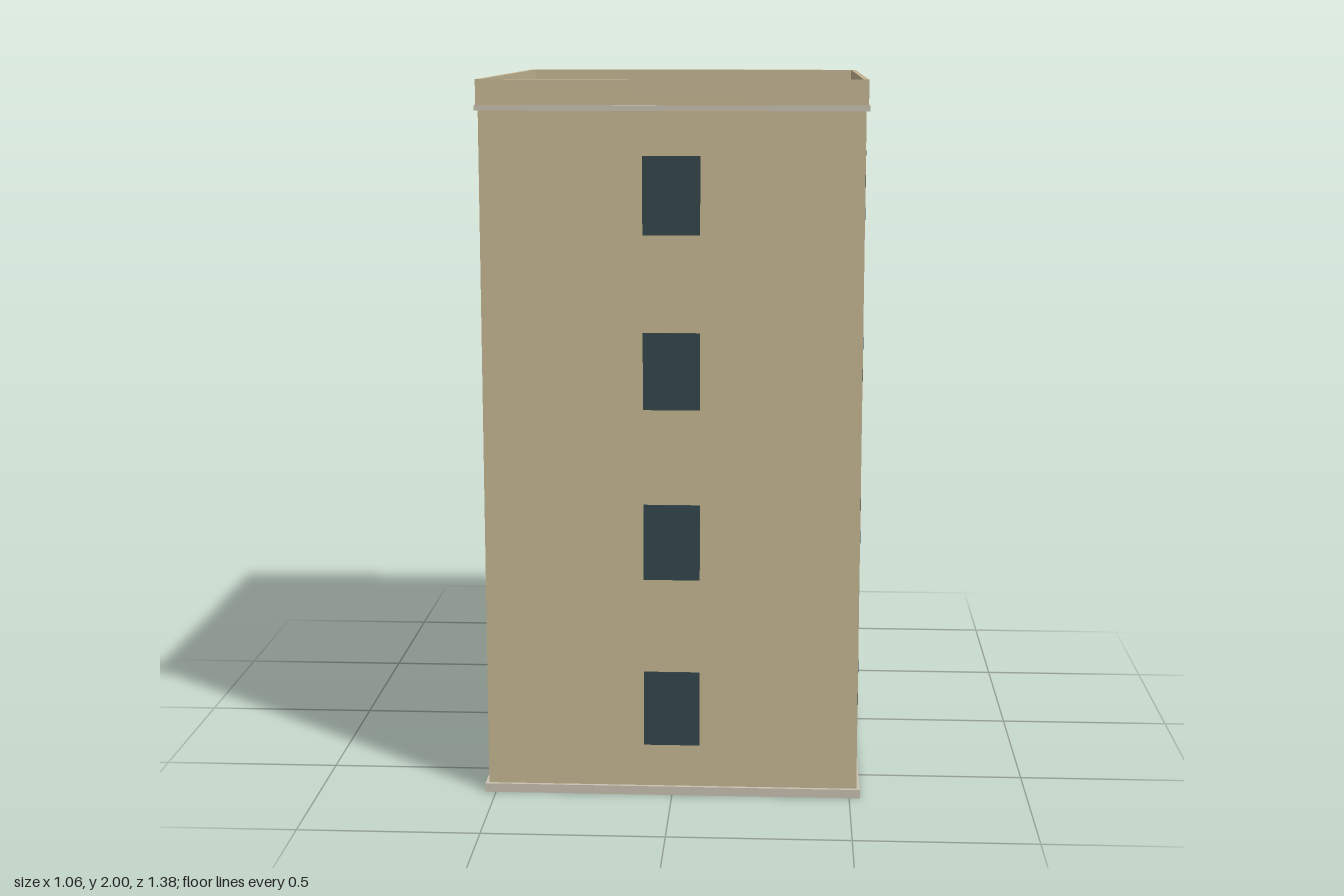
import * as THREE from 'three';

const mat = (name, color) => {
  const m = new THREE.MeshStandardMaterial({ color });
  m.name = name;
  return m;
};

export function createModel() {
  const wall = mat('sand render', 0xc4b592);
  const stone = mat('pale stone', 0xc8c1b1);
  const glass = mat('dark glass', 0x33464b);
  const brick = mat('red brown panel', 0x77504a);

  const root = new THREE.Group();
  root.name = 'apartmentBlock';

  // Box given by its limits on each axis
  const box = (name, material, [x0, x1], [y0, y1], [z0, z1], parent = root) => {
    const mesh = new THREE.Mesh(new THREE.BoxGeometry(x1 - x0, y1 - y0, z1 - z0), material);
    mesh.position.set((x0 + x1) / 2, (y0 + y1) / 2, (z0 + z1) / 2);
    mesh.name = name;
    parent.add(mesh);
    return mesh;
  };

  // Main block with plinth, cornice and roof deck
  box('walls', wall, [-0.52, 0.52], [0.02, 1.92], [-0.56, 0.68]);
  box('plinth', stone, [-0.53, 0.53], [0, 0.025], [-0.572, 0.69]);
  box('corniceAndRoof', stone, [-0.53, 0.53], [1.917, 1.932], [-0.572, 0.69]);

  // Parapet ring around the roof
  const ring = new THREE.Shape();
  ring.moveTo(-0.526, -0.684).lineTo(0.526, -0.684).lineTo(0.526, 0.568).lineTo(-0.526, 0.568).closePath();
  const hole = new THREE.Path();
  hole.moveTo(-0.512, -0.667).lineTo(-0.512, 0.555).lineTo(0.512, 0.555).lineTo(0.512, -0.667).closePath();
  ring.holes.push(hole);
  const parapet = new THREE.Mesh(
    new THREE.ExtrudeGeometry(ring, { depth: 0.07, bevelEnabled: false }).rotateX(-Math.PI / 2), wall);
  parapet.position.y = 1.93;
  parapet.name = 'parapet';
  root.add(parapet);

  // Vertical stairwell strip on the back
  box('stairwellStrip', brick, [0.166, 0.297], [0.025, 1.917], [-0.574, -0.555]);

  for (let floor = 0; floor < 4; floor++) {
    const y = floor * 0.479;
    const storey = new THREE.Group();
    storey.name = `storey${floor + 1}`;
    root.add(storey);

    // Windows on the front, both sides and the stairwell
    const span = [y + 0.148, y + 0.361];
    box('frontWindow', glass, [-0.078, 0.078], span, [0.686, 0.69], storey);
    for (const z of [0.342, -0.228]) {
      box('leftWindow', glass, [0.526, 0.53], span, [z - 0.072, z + 0.072], storey);
      box('rightWindow', glass, [-0.53, -0.526], span, [z - 0.072, z + 0.072], storey);
    }
    box('stairwellWindow', glass, [0.182, 0.27], [y + 0.2, y + 0.361], [-0.59, -0.585], storey);

    // Glazed door with a slim surround
    const bottom = floor ? y + 0.01 : 0.015;
    const top = floor ? y + 0.385 : 0.325;
    box('doorSurround', wall, [-0.333, -0.127], [bottom, top + 0.012], [-0.573, -0.555], storey);
    box('balconyDoor', glass, [-0.32, -0.14], [bottom, top], [-0.58, -0.575], storey);

    // Balcony: slab, front and end walls, coping on the front
    if (floor > 0) {
      const balcony = new THREE.Group();
      balcony.name = 'balcony';
      storey.add(balcony);
      box('slab', stone, [-0.49, 0.03], [y, y + 0.016], [-0.69, -0.56], balcony);
      box('frontWall', wall, [-0.488, 0.028], [y + 0.016, y + 0.126], [-0.686, -0.674], balcony);
      box('coping', stone, [-0.49, 0.03], [y + 0.126, y + 0.135], [-0.69, -0.672], balcony);
      for (const x of [-0.488, 0.015]) {
        box('endWall', wall, [x, x + 0.013], [y + 0.016, y + 0.13], [-0.674, -0.56], balcony);
      }
    }
  }
  return root;
}
